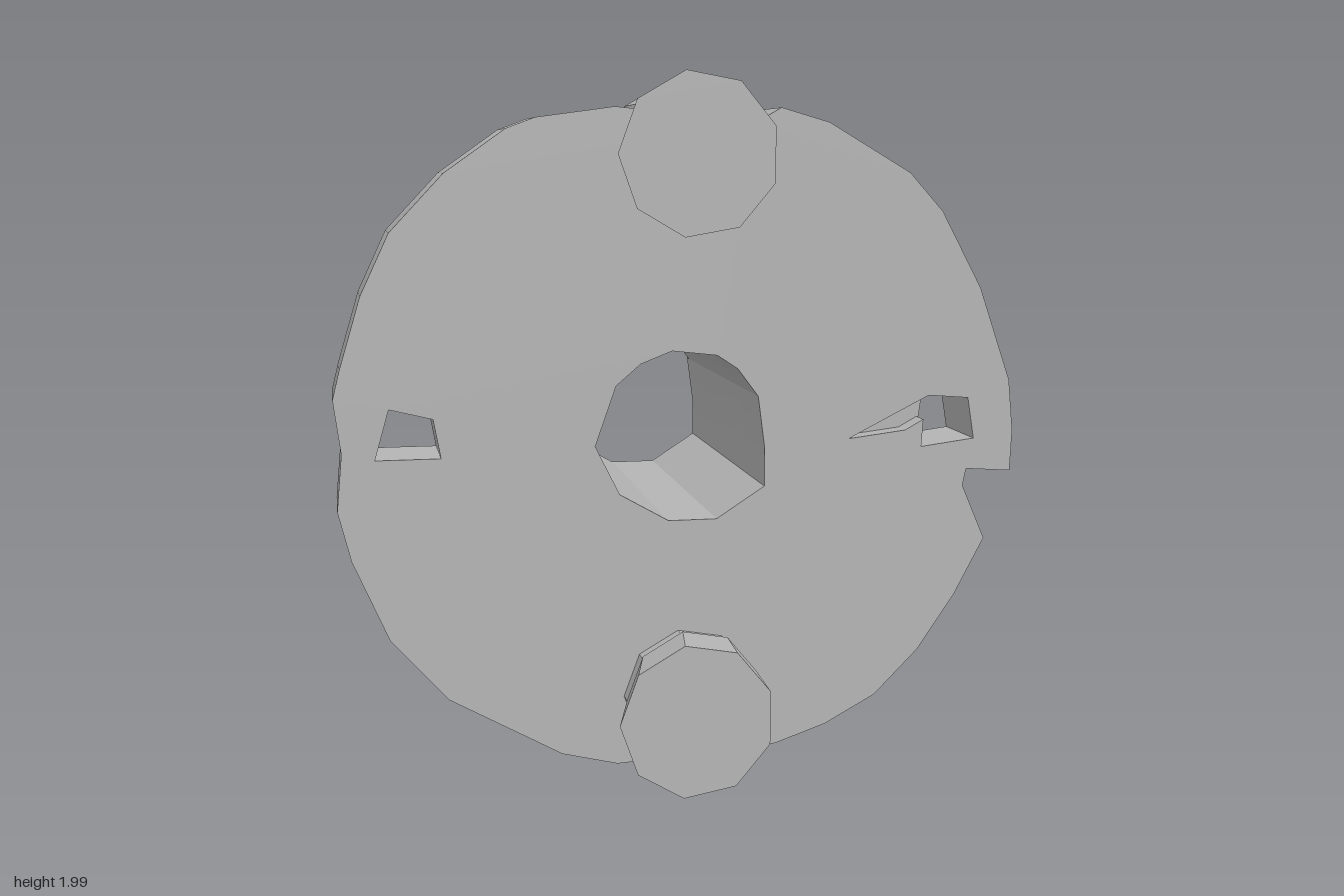
import * as THREE from 'three';
import { toCreasedNormals } from 'three/addons/utils/BufferGeometryUtils.js';

const vecs = (pts) => pts.map(([x, y]) => new THREE.Vector2(x, y));

// Regular or elliptical outline
const ring = (n, cx, cy, rx, ry = rx, turn = 0) =>
  Array.from({ length: n }, (_, i) => {
    const a = turn + (i / n) * Math.PI * 2;
    return [cx + rx * Math.cos(a), cy + ry * Math.sin(a)];
  });

// Straight prism along z, with optional holes
function prism(outline, holes, z0, z1) {
  const shape = new THREE.Shape(vecs(outline));
  holes.forEach((h) => shape.holes.push(new THREE.Path(vecs(h))));
  const geo = new THREE.ExtrudeGeometry(shape, { depth: z1 - z0, bevelEnabled: false });
  return geo.translate(0, 0, z0);
}

// Move every vertex by a rule
function warp(geo, rule) {
  const p = geo.attributes.position;
  const v = new THREE.Vector3();
  for (let i = 0; i < p.count; i++) {
    v.fromBufferAttribute(p, i);
    rule(v);
    p.setXYZ(i, v.x, v.y, v.z);
  }
  return geo;
}

export function createModel() {
  const model = new THREE.Group();
  model.name = 'flangedCoupling';
  const steel = new THREE.MeshStandardMaterial({ color: 0xb4b4b4 });
  steel.name = 'grey steel';

  const add = (name, geo, crease = 0.3, parent = model) => {
    const mesh = new THREE.Mesh(toCreasedNormals(geo, crease), steel);
    mesh.name = name;
    parent.add(mesh);
    return mesh;
  };

  const bore = [[-0.26, 0.97], [-0.2, 1.14], [-0.13, 1.2], [-0.04, 1.235], [0.09, 1.22], [0.15, 1.18],
    [0.21, 1.1], [0.23, 0.95], [0.23, 0.84], [0.09, 0.75], [-0.05, 0.75], [-0.19, 0.83]];

  // Flange disc with a worn rim and a bite at the lower left edge
  const rim = [[0.975, 0.86], [0.98, 0.98], [0.965, 1.13], [0.87, 1.4], [0.75, 1.62], [0.65, 1.73],
    [0.41, 1.87], [0.27, 1.91], [0.2, 1.87], [-0.2, 1.91], [-0.42, 1.88], [-0.5, 1.85], [-0.67, 1.73],
    [-0.82, 1.57], [-0.9, 1.4], [-0.96, 1.2], [-0.98, 1.12], [-0.96, 0.97], [-0.975, 0.81],
    [-0.94, 0.67], [-0.84, 0.44], [-0.68, 0.26], [-0.36, 0.08], [-0.2, 0.04], [0, 0.05], [0.27, 0.07],
    [0.42, 0.12], [0.57, 0.2], [0.7, 0.33], [0.81, 0.49], [0.9, 0.66], [0.83, 0.82], [0.84, 0.87]];
  const rightHole = [[-0.83, 1.09], [-0.71, 1.06], [-0.69, 0.95], [-0.87, 0.95]];
  const leftHole = [[0.72, 1.09], [0.84, 1.08], [0.86, 0.96], [0.7, 0.94]];
  const leftSlot = [[0.48, 0.97], [0.72, 1.09], [0.84, 1.08], [0.86, 0.96], [0.7, 0.94], [0.705, 1.02], [0.65, 0.99]];
  add('flangeBack', prism(rim, [bore, rightHole, leftHole], 0.155, 0.32), 0.45);
  add('flangeFront', prism(rim, [bore, rightHole, leftSlot], 0.32, 0.38), 0.45);

  // Tapered hub: the outer wall shrinks towards the back, the bore stays straight
  const taper = (v) => {
    const dx = v.x, dy = v.y - 0.98;
    if (Math.hypot(dx, dy) < 0.57) return;
    const t = (0.155 - v.z) / 0.755;
    v.x = dx * (1 - 0.105 * t) + 0.02 - 0.03 * t;
    v.y = 0.98 + dy * (1 - 0.184 * t) + 0.01 * t;
  };
  const hubRing = ring(48, 0, 0.98, 0.605, 0.665);
  add('hub', warp(prism(hubRing, [bore], -0.57, 0.155), taper), 0.5);

  // Back end of the hub with a shallow wedge cut from the bore
  const wedgeBore = [...bore.slice(0, 5), [0.28, 1.43], [0.225, 1.22], ...bore.slice(6)];
  add('hubEnd', warp(prism(hubRing, [wedgeBore], -0.6, -0.57), taper), 0.5);

  // Two bolts: flared head in front, body through the rim, stub behind
  for (const [name, y] of [['upper', 1.78], ['lower', 0.225]]) {
    const bolt = new THREE.Group();
    bolt.name = name + 'Bolt';
    model.add(bolt);
    const head = warp(prism(ring(9, 0, 0, 0.22, 0.222, -1.75), [], 0.45, 0.6), (v) => {
      const front = v.z > 0.5;
      v.x = front ? v.x - 0.01 : v.x * 0.88 + 0.01;
      v.y = y + (front ? v.y : v.y * 0.88 + 0.025);
    });
    add(name + 'BoltHead', head, 0.1, bolt);
    add(name + 'BoltBody', prism(ring(9, 0.01, y + 0.015, 0.19, 0.19, -1.75), [], 0.157, 0.45), 0.1, bolt);
  }

  // Hexagonal stubs
  const hex = (cy, h) => [[-0.08, cy], [-0.04, cy - h], [0.05, cy - h], [0.075, cy], [0.05, cy + h], [-0.04, cy + h]];
  add('upperStub', prism(hex(1.755, 0.1), [], -0.11, 0.16), 0.1);
  add('lowerStub', prism(hex(0.235, 0.067), [], -0.11, 0.16), 0.1);

  // Broken teeth along the stubs
  const upperTeeth = prism([[-0.13, -0.09], [-0.07, -0.11], [0, -0.11], [0, 0.16], [-0.07, 0.16],
    [-0.13, 0.04], [-0.085, 0.06], [-0.085, -0.04]].reverse(), [], 0, 0.08);
  add('upperStubTeeth', warp(upperTeeth, (v) => v.set(v.x, 1.78 - v.z, v.y)), 0.1);
  const lowerTeeth = prism([[0.155, 0.11], [0.03, 0.175], [-0.1, 0.1], [-0.11, 0.23], [0.155, 0.23]], [], -0.05, 0.05);
  add('lowerStubTeeth', lowerTeeth.rotateY(-Math.PI / 2).scale(1, 1, 1), 0.1);

  // Swapping y and z above mirrors nothing: (x, y, z) -> (x, -z, y) is a pure rotation
  return model;
}
